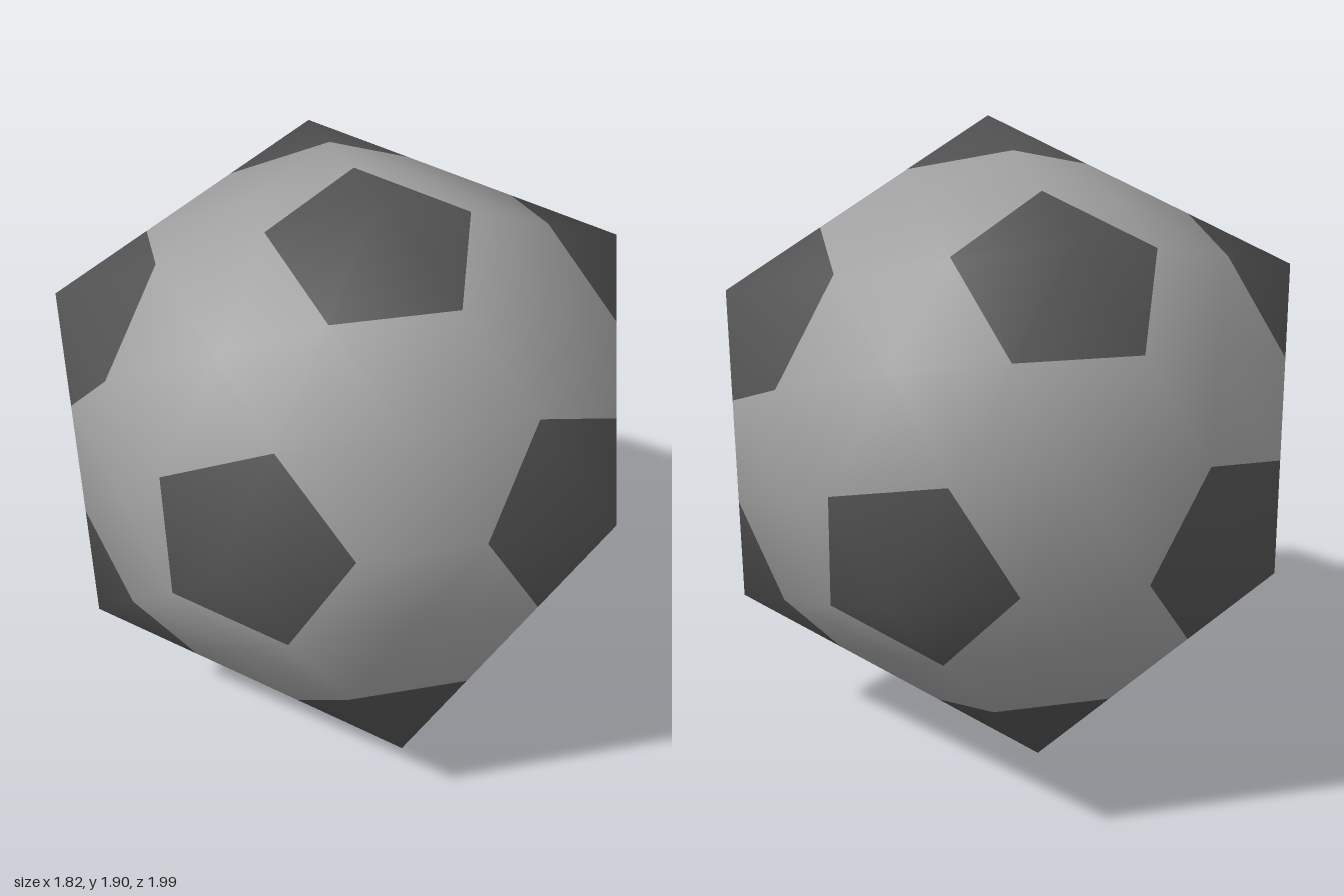
import * as THREE from 'three';

const RADIUS = 1.012;

// Right-handed frame spanned by two neighbouring corners
function frame(a, b) {
  const x = a.clone().normalize();
  const y = b.clone().addScaledVector(x, -b.dot(x)).normalize();
  return new THREE.Matrix4().makeBasis(x, y, x.clone().cross(y));
}

// Mesh from a triangle list, with normals pointing out from the centre
function patchMesh(name, points, normals, material) {
  const geometry = new THREE.BufferGeometry().setFromPoints(points);
  const flat = normals.flatMap((n) => n.toArray());
  geometry.setAttribute('normal', new THREE.Float32BufferAttribute(flat, 3));
  const mesh = new THREE.Mesh(geometry, material);
  mesh.name = name;
  return mesh;
}

export function createModel() {
  const group = new THREE.Group();
  group.name = 'ball';
  const lightGrey = new THREE.MeshStandardMaterial({ color: 0xa0a0a0 });
  lightGrey.name = 'light grey';
  const darkGrey = new THREE.MeshStandardMaterial({ color: 0x525252 });
  darkGrey.name = 'dark grey';

  // Tilted twenty-sided body
  const t = (1 + Math.sqrt(5)) / 2;
  const from = frame(new THREE.Vector3(-1, t, 0), new THREE.Vector3(1, t, 0));
  const to = frame(new THREE.Vector3(0.193, 0.955, 0.285), new THREE.Vector3(0.03, 0.175, 1));
  const body = new THREE.IcosahedronGeometry(RADIUS, 0).applyMatrix4(to.multiply(from.transpose()));
  const position = body.attributes.position;

  const hexagons = [];
  const pentagons = [];
  for (let i = 0; i < position.count; i += 3) {
    const corners = [0, 1, 2].map((k) => new THREE.Vector3().fromBufferAttribute(position, i + k));
    const centre = corners[0].clone().add(corners[1]).add(corners[2]).divideScalar(3);
    // Points a third of the way in from each end of every edge
    const ring = [];
    for (let k = 0; k < 3; k++) {
      const a = corners[k], b = corners[(k + 1) % 3];
      ring.push(a.clone().lerp(b, 1 / 3), a.clone().lerp(b, 2 / 3));
    }
    // Dark tips meet in fives to form pentagons
    for (let k = 0; k < 3; k++) pentagons.push(corners[k], ring[2 * k], ring[(2 * k + 5) % 6]);
    // Light hexagon fills the rest of the face
    for (let k = 0; k < 6; k++) hexagons.push(centre, ring[k], ring[(k + 1) % 6]);
  }

  const outward = (points) => points.map((p) => p.clone().normalize());
  group.add(
    patchMesh('hexagonPanels', hexagons, outward(hexagons), lightGrey),
    patchMesh('pentagonPanels', pentagons, outward(pentagons), darkGrey),
  );

  // Stand on the ground, centred
  body.computeBoundingBox();
  group.children.forEach((m) => m.geometry.translate(0, -body.boundingBox.min.y, 0));
  return group;
}
